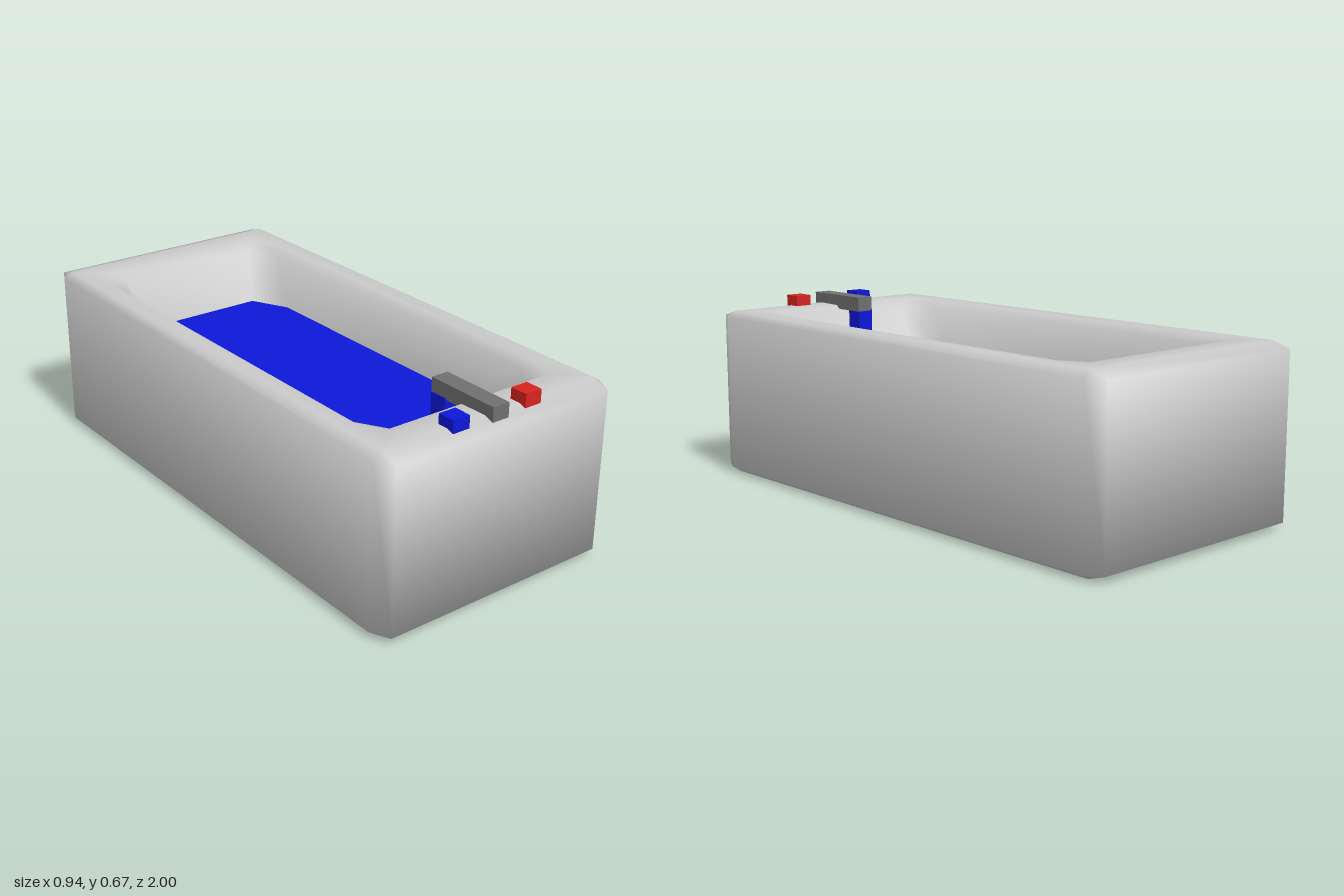
import * as THREE from 'three';

const paint = (color, extra = {}) => new THREE.MeshStandardMaterial({ color, ...extra });

// Rectangle with cut corners: half sizes hx, hz and cuts cx, cz
function octagon(hx, hz, cx, cz) {
  const a = hx - cx, b = hz - cz;
  return [[hx, -b], [hx, b], [a, hz], [-a, hz], [-hx, b], [-hx, -b], [-a, -hz], [a, -hz]];
}

// Skin stacked rings, with evenly averaged normals for a soft look
function loft(sections) {
  const n = 8, pos = [], index = [];
  for (const [y, ...size] of sections) {
    for (const [x, z] of octagon(...size)) pos.push(x, y, z);
  }
  const at = i => new THREE.Vector3().fromArray(pos, i * 3);
  const normals = pos.map(() => 0);
  for (let r = 0; r < sections.length - 1; r++) {
    for (let i = 0; i < n; i++) {
      const a = r * n + i, b = r * n + (i + 1) % n, c = a + n, d = b + n;
      index.push(a, c, d, a, d, b);
      const normal = at(d).sub(at(a)).cross(at(b).sub(at(c))).normalize();
      for (const v of [a, b, c, d]) {
        normals[v * 3] += normal.x;
        normals[v * 3 + 1] += normal.y;
        normals[v * 3 + 2] += normal.z;
      }
    }
  }
  const geo = new THREE.BufferGeometry();
  geo.setAttribute('position', new THREE.Float32BufferAttribute(pos, 3));
  geo.setAttribute('normal', new THREE.Float32BufferAttribute(normals, 3));
  geo.setIndex(index);
  geo.normalizeNormals();
  return geo;
}

export function createModel() {
  const model = new THREE.Group();
  const add = (name, geo, material) => {
    const mesh = new THREE.Mesh(geo, material);
    mesh.name = name;
    model.add(mesh);
    return mesh;
  };
  // Box given by its lower and upper corner
  const block = (name, lo, hi, material) => {
    const size = hi.map((v, i) => v - lo[i]);
    const mesh = add(name, new THREE.BoxGeometry(...size), material);
    mesh.position.set(...hi.map((v, i) => (v + lo[i]) / 2));
    return mesh;
  };

  // Tub: underside, outer walls, rim, then down the sloping basin
  add('tub', loft([
    [0, 0, 0, 0, 0],
    [0, 0.437, 0.932, 0.004, 0.008],
    [0.022, 0.47, 1, 0.033, 0.068],
    [0.608, 0.47, 1, 0.033, 0.068],
    [0.63, 0.437, 0.932, 0.004, 0.008],
    [0.628, 0.38, 0.83, 0.05, 0.09],
    [0.6, 0.35, 0.795, 0.07, 0.12],
    [0.43, 0.3, 0.69, 0.07, 0.14],
    [0.15, 0.26, 0.6, 0.07, 0.14],
    [0.11, 0.22, 0.54, 0.07, 0.14],
    [0.11, 0, 0, 0, 0],
  ]), paint(0xcccccc));

  // Water surface filling the basin
  const blue = paint(0x0d17d8, { side: THREE.DoubleSide });
  const outline = octagon(0.302, 0.693, 0.07, 0.14).map(([x, z]) => new THREE.Vector2(x, z));
  const water = new THREE.ShapeGeometry(new THREE.Shape(outline)).rotateX(-Math.PI / 2);
  add('water', water, blue).position.y = 0.432;

  // Tap with its stream of water
  block('spout', [-0.035, 0.614, 0.69], [0.03, 0.669, 0.97], paint(0x707070));
  block('stream', [-0.04, 0.42, 0.695], [0.022, 0.62, 0.76], blue);

  // Cold and hot taps
  block('coldTap', [-0.187, 0.617, 0.895], [-0.121, 0.665, 0.96], blue);
  block('hotTap', [0.11, 0.617, 0.895], [0.176, 0.669, 0.96], paint(0xd6241f));

  return model;
}
